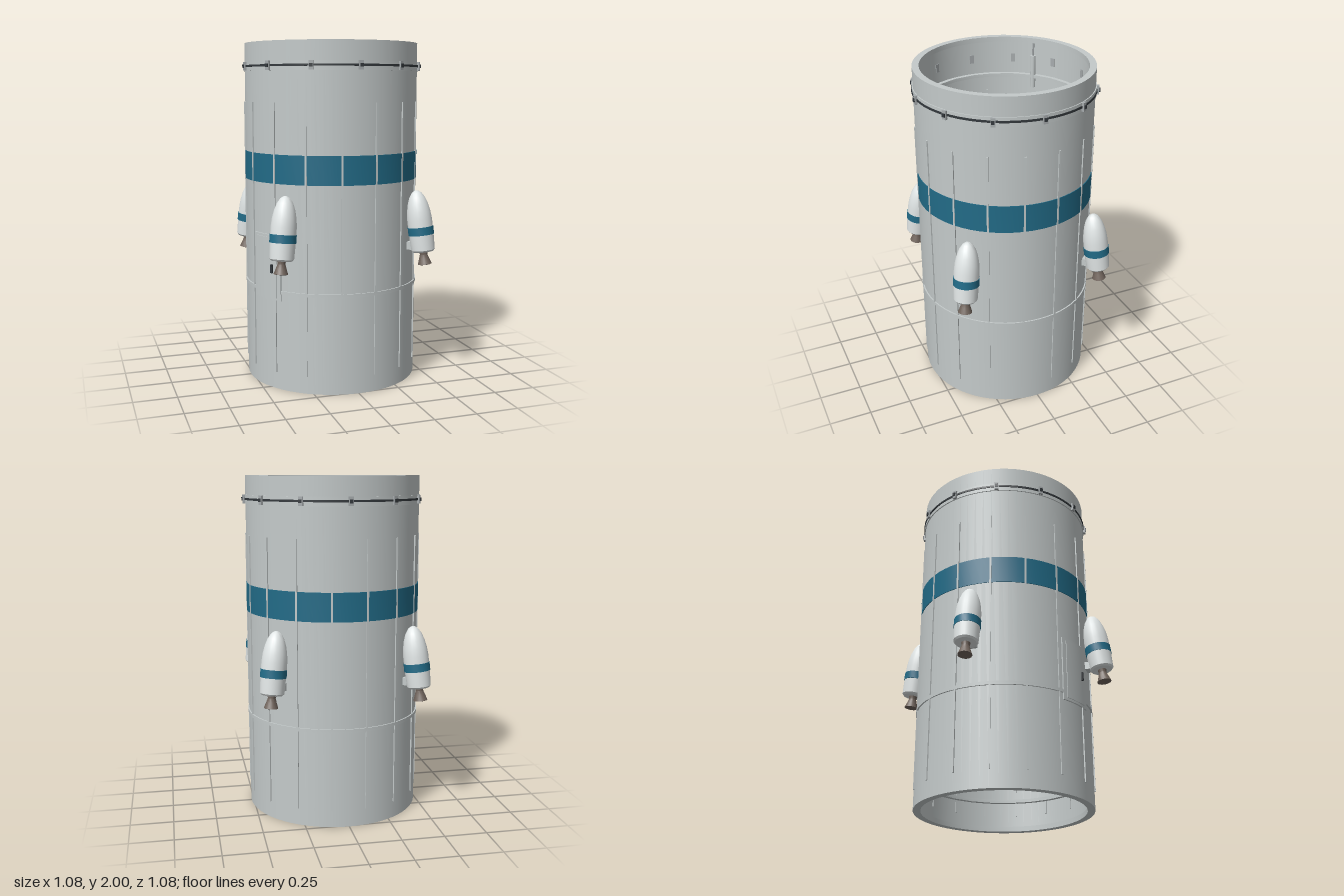
import * as THREE from 'three';
import { toCreasedNormals } from 'three/addons/utils/BufferGeometryUtils.js';

const material = (name, color) => {
  const m = new THREE.MeshStandardMaterial({ color });
  m.name = name;
  return m;
};
const rad = THREE.MathUtils.degToRad;

export function createModel() {
  const hullGrey = material('hull grey', 0xc4caca);
  const podWhite = material('pod white', 0xe0e5e5);
  const bandBlue = material('band blue', 0x226b87);
  const sealDark = material('seal dark', 0x33383c);
  const fittingGrey = material('fitting grey', 0xa6abad);
  const nozzleBrown = material('nozzle brown', 0x70645c);

  const model = new THREE.Group();
  model.name = 'boosterSection';

  const add = (parent, name, geometry, mat, x = 0, y = 0, z = 0) => {
    const mesh = new THREE.Mesh(geometry, mat);
    mesh.name = name;
    mesh.position.set(x, y, z);
    parent.add(mesh);
    return mesh;
  };

  // A surface of revolution; outer points run upward
  const lathe = (points, segments = 64) => toCreasedNormals(
    new THREE.LatheGeometry(points.map(([r, y]) => new THREE.Vector2(r, y)), segments), rad(30));

  const ring = (inner, outer, y0, y1, segments) =>
    lathe([[inner, y0], [outer, y0], [outer, y1], [inner, y1], [inner, y0]], segments);

  // Group whose local +z points outward at a given heading from the front
  const station = (name, degrees) => {
    const g = new THREE.Group();
    g.name = name;
    g.rotation.y = rad(degrees);
    model.add(g);
    return g;
  };

  // Curved plate between two headings
  const curvedPlate = (inner, outer, from, to, y0, y1) => {
    const a = rad(from - 90), b = rad(to - 90);
    const s = new THREE.Shape();
    s.absarc(0, 0, outer, a, b, false);
    s.absarc(0, 0, inner, b, a, true);
    const g = new THREE.ExtrudeGeometry(s, { depth: y1 - y0, bevelEnabled: false, curveSegments: 8 });
    g.rotateX(-Math.PI / 2);
    g.translate(0, y0, 0);
    return toCreasedNormals(g, rad(30));
  };

  // Hollow hull with end flanges
  add(model, 'hull', lathe([
    [0.472, 0], [0.515, 0], [0.515, 2], [0.476, 2], [0.476, 1.97],
    [0.497, 1.97], [0.497, 0.03], [0.472, 0.03], [0.472, 0],
  ]), hullGrey);
  add(model, 'paintedBand', ring(0.514, 0.519, 1.205, 1.37), bandBlue);
  add(model, 'lowerHoop', ring(0.49, 0.523, 0.57, 0.59), hullGrey);

  // Internal stiffening frames
  for (const y of [0.19, 1.76]) {
    add(model, 'innerFrame', ring(0.474, 0.5, y - 0.01, y + 0.01, 24), hullGrey);
  }

  // Separation joint: two lips, a dark seal and clamps
  add(model, 'jointLip', ring(0.51, 0.521, 1.837, 1.86), hullGrey);
  add(model, 'jointLip', ring(0.51, 0.521, 1.87, 1.889), hullGrey);
  add(model, 'jointSeal', ring(0.51, 0.525, 1.859, 1.871), sealDark);
  for (let i = 0; i < 12; i++) {
    const clamp = station('clamp', i * 30);
    add(clamp, 'clampBlock', new THREE.BoxGeometry(0.026, 0.05, 0.042), fittingGrey, 0, 1.864, 0.513);
    add(clamp, 'clampBolt', new THREE.BoxGeometry(0.018, 0.02, 0.02), sealDark, 0, 1.864, 0.53);
  }

  // Long stringers running through the thin wall
  for (let i = 0; i < 16; i++) {
    const s = station('stringer', 11.25 + i * 22.5);
    add(s, 'stringerBar', new THREE.BoxGeometry(0.011, 1.56, 0.03), hullGrey, 0, 0.88, 0.507);
  }

  // Four tilted motor pods
  const podBody = lathe([
    [0, 0], [0.06, 0], [0.069, 0.01], [0.073, 0.11], [0.073, 0.19], [0.069, 0.235],
    [0.06, 0.28], [0.046, 0.32], [0.028, 0.348], [0.012, 0.359], [0, 0.362],
  ], 24);
  const podBand = lathe([[0.07, 0.1], [0.0755, 0.1], [0.0755, 0.147], [0.07, 0.147]], 24);
  const nozzle = lathe([
    [0, -0.055], [0.036, -0.077], [0.041, -0.075], [0.029, -0.04], [0.022, -0.018], [0.026, 0.004],
  ], 20);
  for (const heading of [45, 135, 225, 315]) {
    const mount = station('podMount', heading);
    add(mount, 'podBracket', new THREE.BoxGeometry(0.06, 0.045, 0.1), hullGrey, 0, 0.82, 0.54);
    const pin = new THREE.CylinderGeometry(0.017, 0.017, 0.05, 16);
    add(mount, 'bracketPin', pin, hullGrey, 0, 0.82, 0.493);
    const pod = new THREE.Group();
    pod.name = 'motorPod';
    pod.position.set(0, 0.79, 0.608);
    pod.rotation.x = rad(-8);
    mount.add(pod);
    add(pod, 'podBody', podBody, podWhite);
    add(pod, 'podBand', podBand, bandBlue);
    add(pod, 'nozzle', nozzle, nozzleBrown);
  }

  // Access hatch with raised panel and handle
  add(model, 'hatchFrame', curvedPlate(0.51, 0.523, -76, -51.5, 0.53, 0.91), hullGrey);
  add(model, 'hatchPanel', curvedPlate(0.52, 0.527, -73, -54.5, 0.545, 0.895), hullGrey);
  const hatch = station('hatchHandle', -58);
  add(hatch, 'handleBar', new THREE.BoxGeometry(0.014, 0.05, 0.012), sealDark, 0, 0.715, 0.531);

  // Actuator on the inside wall
  const actuator = station('actuator', 225);
  add(actuator, 'actuatorBody', new THREE.CylinderGeometry(0.016, 0.016, 0.2, 16), hullGrey, 0, 1.79, 0.485);
  add(actuator, 'actuatorRod', new THREE.CylinderGeometry(0.006, 0.006, 0.1, 10), fittingGrey, 0, 1.93, 0.485);

  return model;
}
